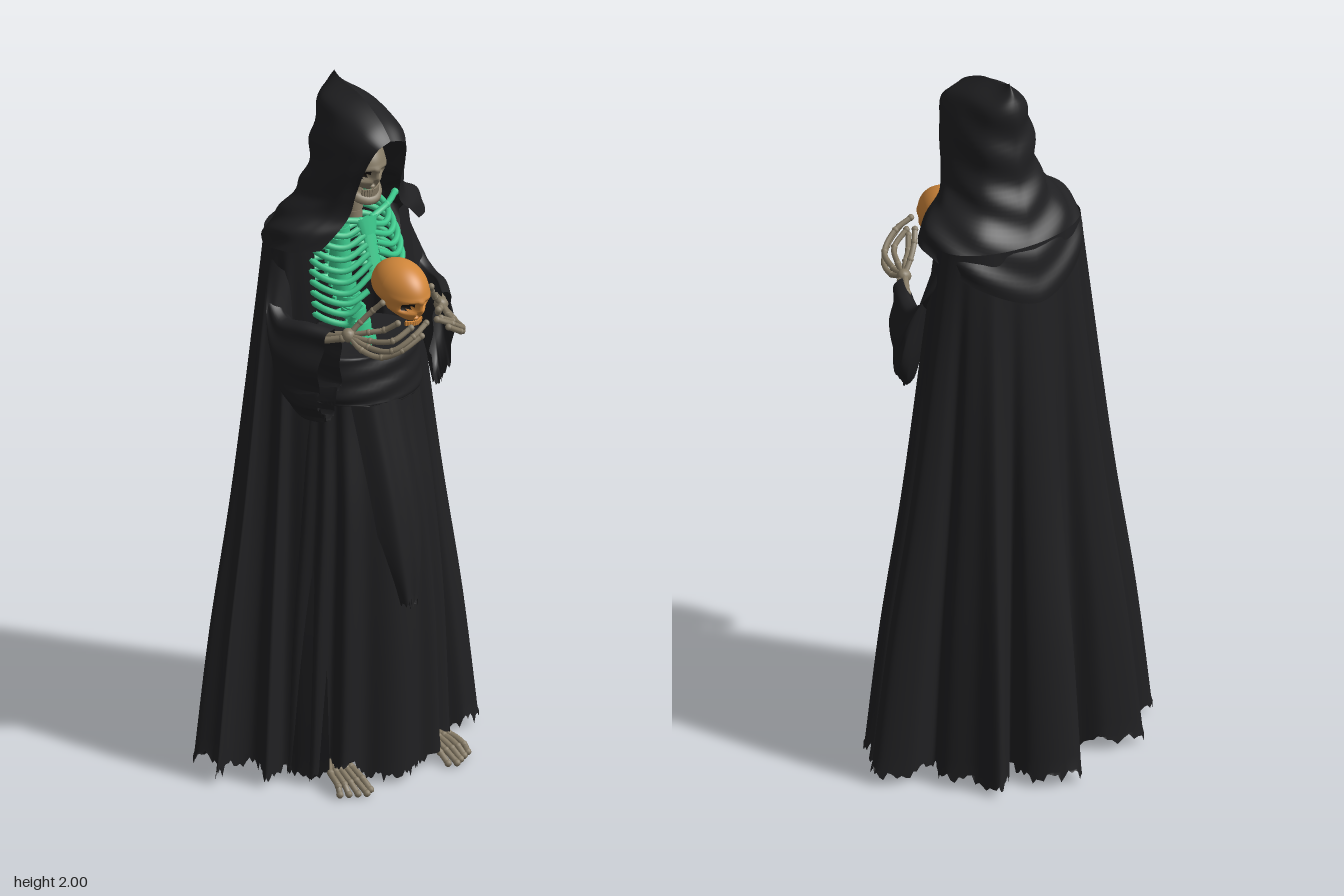
import * as THREE from 'three';

const V = (x, y, z) => new THREE.Vector3(x, y, z);
const mat = (name, color, side = THREE.FrontSide) => {
  const m = new THREE.MeshStandardMaterial({ color, side });
  m.name = name;
  return m;
};
const mesh = (name, geo, material, parent) => {
  const m = new THREE.Mesh(geo, material);
  m.name = name;
  parent.add(m);
  return m;
};
const group = (name, parent) => {
  const g = new THREE.Group();
  g.name = name;
  parent.add(g);
  return g;
};

// Smooth sheet through rows of control points, with an optional rule that moves each vertex
function loft(rows, nu, nv, closed, rule) {
  const across = rows.map(r => new THREE.CatmullRomCurve3(r, closed, 'catmullrom', 0.5));
  const pos = [], idx = [], cols = closed ? nu : nu + 1;
  const grid = [];
  for (let i = 0; i < cols; i++) {
    const u = i / nu;
    const down = new THREE.CatmullRomCurve3(across.map(c => c.getPoint(u)), false, 'centripetal');
    grid.push(Array.from({ length: nv + 1 }, (_, j) => {
      const p = down.getPoint(j / nv);
      if (rule) rule(p, u, j / nv);
      return p;
    }));
  }
  for (let j = 0; j <= nv; j++) for (let i = 0; i < cols; i++) pos.push(...grid[i][j].toArray());
  for (let j = 0; j < nv; j++) for (let i = 0; i < nu; i++) {
    const a = j * cols + i, b = j * cols + (i + 1) % cols, c = a + cols, d = b + cols;
    idx.push(a, c, b, b, c, d);
  }
  const g = new THREE.BufferGeometry();
  g.setAttribute('position', new THREE.Float32BufferAttribute(pos, 3));
  g.setIndex(idx);
  g.computeVertexNormals();
  return g;
}

const ring = (n, fn) => Array.from({ length: n }, (_, i) => fn(i / n * Math.PI * 2));
const ragged = u => 0.03 * Math.abs(Math.sin(u * 131) * Math.sin(u * 57 + 1)) + 0.02 * Math.abs(Math.sin(u * 311));

// Bone: a tube with rounded joints
function bone(name, pts, r, material, parent, joints = true) {
  const curve = new THREE.CatmullRomCurve3(pts);
  mesh(name, new THREE.TubeGeometry(curve, pts.length * 5, r, 7), material, parent);
  if (joints) pts.forEach(p =>
    mesh(name + 'Joint', new THREE.SphereGeometry(r * 1.2, 8, 6), material, parent).position.copy(p));
}

// Skull: a sphere sculpted with sockets, nose and narrowed face
function skull(name, material, dark, parent, withJaw) {
  const g = group(name, parent);
  const geo = new THREE.SphereGeometry(1, 64, 48);
  const p = geo.attributes.position, hole = [];
  for (let i = 0; i < p.count; i++) {
    let x = p.getX(i), y = p.getY(i), z = p.getZ(i);
    const front = z > 0.05;
    const eye = front ? Math.exp(-(((Math.abs(x) - 0.42) / 0.25) ** 4) - ((y + 0.2 + 0.25 * (Math.abs(x) - 0.42)) / 0.2) ** 4) : 0;
    const nose = front ? Math.exp(-((x / (0.07 + 0.28 * Math.max(0, -0.38 - y))) ** 4) - ((y + 0.56) / 0.14) ** 4) : 0;
    const low = Math.max(0, -y);
    const brow = front ? Math.exp(-(((y - 0.06) / 0.1) ** 2)) * 0.05 : 0;
    const cheek = Math.exp(-(((Math.abs(x) - 0.72) / 0.16) ** 2) - ((y + 0.4) / 0.13) ** 2) * (z > 0 ? 0.14 : 0);
    hole.push(Math.max(eye, nose) > 0.45);
    if (z > 0.1) z = z + low * low * 0.32 + brow - 0.25 * eye - 0.18 * nose;
    else if (y < 0) y *= 0.72;
    x *= 1 - 0.36 * low * low + cheek - 0.1 * Math.max(0, z);
    p.setXYZ(i, x * 0.07, y * 0.076, z * 0.095);
  }
  const bonePart = [], holes = [], ix = geo.index.array;
  for (let k = 0; k < ix.length; k += 3) {
    const f = [ix[k], ix[k + 1], ix[k + 2]];
    (f.every(v => hole[v]) ? holes : bonePart).push(...f);
  }
  geo.setIndex([...bonePart, ...holes]);
  geo.clearGroups();
  geo.addGroup(0, bonePart.length, 0);
  geo.addGroup(bonePart.length, holes.length, 1);
  geo.computeVertexNormals();
  mesh('cranium', geo, [material, dark], g);
  for (let i = -4; i <= 4; i++) for (const row of withJaw ? [0, 1] : [0]) {
    const a = i * 0.2;
    mesh('tooth', new THREE.BoxGeometry(0.006, 0.013, 0.006), material, g)
      .position.set(Math.sin(a) * 0.034, -0.07 - row * 0.013, 0.043 + Math.cos(a) * 0.034);
  }
  if (withJaw) {
    const half = [V(0.056, -0.03, 0.005), V(0.05, -0.07, 0.012), V(0.032, -0.09, 0.056), V(0.012, -0.097, 0.073)];
    const full = [...half, ...half.slice().reverse().map(q => V(-q.x, q.y, q.z))];
    mesh('jaw', new THREE.TubeGeometry(new THREE.CatmullRomCurve3(full), 36, 0.014, 8), material, g);
  }
  return g;
}

export function createModel() {
  const model = new THREE.Group();
  model.name = 'hoodedSkeleton';
  const cloth = mat('blackCloth', 0x202022, THREE.DoubleSide);
  const boneMat = mat('bone', 0x867b66);
  const green = mat('greenBone', 0x3cc88c);
  const orange = mat('orangeBone', 0xd0863a);
  const dark = mat('socketDark', 0x17120e);

  // Cloak: shoulder arc blended into a deeply folded hem, open at the front
  const hem = [[.2, .17], [.24, .09], [.30, .115], [.36, .09], [.35, .05], [.39, .02], [.35, -.02], [.41, -.02],
    [.43, -.07], [.35, -.115], [.27, -.11], [.29, -.18], [.235, -.25], [.2, -.325], [.14, -.275], [.11, -.235],
    [.1, -.31], [.04, -.36], [-.03, -.37], [-.05, -.29], [-.11, -.215], [-.18, -.275], [-.29, -.29], [-.265, -.21],
    [-.25, -.14], [-.33, -.165], [-.41, -.16], [-.38, -.1], [-.43, -.03], [-.36, -.06], [-.3, -.03], [-.335, .06],
    [-.27, .05], [-.24, .1], [-.2, .17]];
  const cloakRow = (y, f) => hem.map(([x, z], i) => {
    const a = (-50 + 280 * i / (hem.length - 1)) * Math.PI / 180;
    return V(THREE.MathUtils.lerp(0.222 * Math.cos(a), x, f), y, THREE.MathUtils.lerp(-0.07 - 0.12 * Math.sin(a), z, f));
  });
  mesh('cloak', loft([cloakRow(1.57, 0), cloakRow(1.3, 0.16), cloakRow(0.8, 0.47), cloakRow(0.4, 0.77), cloakRow(0.005, 1)],
    280, 40, false, (p, u, v) => { if (v === 1) p.y += ragged(u); }), cloth, model);

  // Hood and shoulder cape: [front edge], [side], [back y, z]
  const levels = [
    [[0, 1.885, .19], [0, 1.968, .06], [2.0, -.06]],
    [[.045, 1.868, .189], [.07, 1.925, .04], [1.95, -.092]],
    [[.068, 1.80, .16], [.104, 1.83, .03], [1.84, -.1]],
    [[.075, 1.72, .127], [.122, 1.72, .02], [1.72, -.117]],
    [[.085, 1.65, .108], [.158, 1.652, 0], [1.62, -.16]],
    [[.125, 1.605, .1], [.218, 1.602, -.02], [1.51, -.205]],
    [[.165, 1.56, .082], [.236, 1.545, -.03], [1.41, -.222]]];
  const hoodRows = levels.map(([f, s, [by, bz]], i) => {
    const half = [V(...f), V((f[0] + s[0]) / 2 + s[0] * (i > 3 ? 0.06 : 0.12), (f[1] + s[1]) / 2, f[2] * 0.65 + s[2] * 0.35), V(...s),
      V(s[0] * 0.74, (s[1] + by) / 2, s[2] * 0.28 + bz * 0.72)];
    return [...half, V(0, by, bz), ...half.slice().reverse().map(p => V(-p.x, p.y, p.z))];
  });
  mesh('hood', loft(hoodRows, 80, 48, false, (p, u, v) => {
    const w = 0.005 * Math.sin(u * Math.PI) * Math.sin(v * 34 + Math.abs(u - 0.5) * 16) * Math.min(1, v * 3);
    p.x += w * Math.sign(0.5 - u) * Math.min(1, Math.abs(u - 0.5) * 6) - 0.012 * (1 - v);
    p.z -= w;
  }), cloth, model);

  // Skirt with pleats, lifted over the feet: [y, half width, front z, back z]
  const oval = (y, rx, zf, zb) => ring(16, a => V(-rx * Math.sin(a), y, (zf + zb) / 2 - (zf - zb) / 2 * Math.cos(a)));
  mesh('skirt', loft([oval(1.2, .165, .15, -.1), oval(1.05, .175, .17, -.11), oval(.8, .2, .21, -.13),
    oval(.45, .23, .238, -.16), oval(0, .25, .248, -.18)], 220, 24, true, (p, u, v) => {
    const s = 1 + (0.02 + 0.05 * v) * Math.sin(u * Math.PI * 26 + 2 * Math.sin(u * 20)) - 0.03 * v;
    p.x *= s;
    p.z = 0.035 + (p.z - 0.035) * s;
    if (v === 1) {
      const overFoot = p.z > 0.06 ? Math.exp(-(((Math.abs(p.x) - 0.165) / 0.05) ** 4)) : 0;
      p.y += 0.003 + ragged(u) * 0.8 + 0.045 * overFoot;
    }
  }), cloth, model);

  // Waist sash, closed on top
  mesh('sash', loft([oval(1.23, .02, .05, .01), oval(1.235, .15, .14, -.09), oval(1.235, .172, .158, -.1), oval(1.17, .18, .168, -.11),
    oval(1.1, .183, .172, -.115), oval(1.085, .17, .16, -.1)], 64, 30, true,
    (p, u, v) => { p.z += 0.003 * Math.sin(v * 40 + p.x * 20); p.y -= 0.1 * p.x * v; }), cloth, model);

  // Hanging front panel
  const panel = (y, x, w, z) => [-1, -0.5, 0, 0.5, 1].map((k, i) => V(x + k * w, y, z - 0.035 * k * k + (i % 2) * 0.01));
  mesh('frontPanel', loft([panel(1.1, -.02, .085, .172), panel(.85, 0, .08, .22), panel(.65, .01, .065, .247), panel(.5, .01, .03, .258)],
    30, 16, false, (p, u, v) => { if (v === 1) p.y += ragged(u); }), cloth, model);

  for (const s of [1, -1]) {
    const side = s > 0 ? 'left' : 'right';

    // Wide hanging sleeve
    const cuff = (x, y, z, rx, ry, tilt) => ring(10, a => V(s * (x + rx * Math.cos(a)), y + ry * Math.sin(a), z + tilt * Math.sin(a)));
    mesh(side + 'Sleeve', loft([cuff(.19, 1.5, -.05, .035, .03, -.04), cuff(.225, 1.37, -.02, .04, .06, -.03),
      cuff(.242, 1.255, .03, .043, .11, -.01), cuff(.222, 1.225, .09, .043, .145, .005), cuff(.188, 1.215, .152, .038, .15, .012)],
      72, 24, true, (p, u, v) => {
        p.x += s * 0.006 * Math.sin(u * 44) * v;
        if (v > 0.6 && u > 0.55 && u < 0.95) p.y += ragged(u * 2) * (v - 0.6) * 2;
      }), cloth, model);

    // Forearm and cupped hand
    const hand = group(side + 'Hand', model);
    const P = (x, y, z) => V(s * x, y, z);
    bone('radius', [P(.222, 1.325, .07), P(.19, 1.337, .13), P(.155, 1.352, .19)], .0105, boneMat, hand);
    bone('ulna', [P(.235, 1.315, .07), P(.205, 1.325, .13), P(.17, 1.342, .185)], .0095, boneMat, hand);
    const wrist = P(.155, 1.35, .192);
    mesh('wrist', new THREE.SphereGeometry(.02, 10, 8), boneMat, hand).position.copy(wrist);
    [[[.12, 1.365, .235], [.09, 1.375, .265], [.068, 1.4, .295]],
      [[.13, 1.35, .255], [.1, 1.365, .315], [.05, 1.395, .33]],
      [[.142, 1.338, .262], [.118, 1.348, .335], [.065, 1.385, .36], [.018, 1.41, .355]],
      [[.155, 1.328, .25], [.135, 1.325, .312], [.098, 1.35, .352], [.045, 1.385, .37]],
      [[.125, 1.385, .205], [.098, 1.42, .225], [.082, 1.445, .245]]
    ].forEach((f, i) => bone(i < 4 ? 'finger' : 'thumb', [wrist, ...f.map(q => P(...q))], .0078, boneMat, hand));

    // Foot, toes turned outward
    const foot = group(side + 'Foot', model);
    bone('shin', [P(.135, .2, .05), P(.145, .06, .08)], .013, boneMat, foot);
    bone('heel', [P(.145, .05, .1), P(.135, .022, .04)], .018, boneMat, foot);
    for (let i = 0; i < 5; i++) {
      const x = .13 + i * .017, end = .268 - Math.abs(i - 1) * .012;
      bone('toe', [P(.147, .055, .1), P(x, .046, .17), P(x + .003 * i, .03, .22), P(x + .004 * i, .011, end)], .0085, boneMat, foot);
    }
  }

  // Ribcage, leaning back at the top
  const ribs = group('ribcage', model);
  ribs.position.x = -.007;
  for (let i = 0; i < 9; i++) {
    const y = 1.605 - i * .03, w = .095 + .048 * Math.sin(Math.min(1, (i + 1) / 5) * Math.PI / 2);
    const zf = Math.min(.125, .078 + i * .009);
    const endX = i < 6 ? .014 : .03 + (i - 6) * .025, endY = i < 6 ? 1.59 - i * .024 : y - .005;
    for (const s of [1, -1]) bone('rib', [V(0, y + .02, -.06), V(s * w * .65, y + .025, -.07), V(s * w, y, -.01),
      V(s * w * .93, y - .022, zf * .5), V(s * w * .6, y - .032, zf * .9), V(s * endX, endY, zf)], .0088, green, ribs, false);
  }
  const breastbone = (name, y, z, top, bottom, h) => {
    const geo = new THREE.CylinderGeometry(top, bottom, h, 12);
    geo.scale(1, 1, .35);
    const m = mesh(name, geo, green, ribs);
    m.position.set(0, y, z);
    m.rotation.x = -.28;
  };
  breastbone('manubrium', 1.585, .082, .036, .022, .055);
  breastbone('sternum', 1.51, .105, .02, .022, .12);
  for (const s of [1, -1])
    bone('collarbone', [V(s * .02, 1.606, .075), V(s * .08, 1.62, .06), V(s * .16, 1.605, -.01)], .009, green, ribs);

  // Spine: green below, plain bone in the neck
  const vertebra = (y, z, r, m) => {
    mesh('vertebra', new THREE.CylinderGeometry(r, r * 1.08, .025, 12), m, model).position.set(-.008, y, z);
    mesh('spinalDisc', new THREE.CylinderGeometry(r * .88, r * .88, .034, 10), m, model).position.set(-.008, y, z);
    mesh('spinalProcess', new THREE.BoxGeometry(r * 2.3, .008, .012), m, model).position.set(-.008, y, z - r * .6);
  };
  for (let i = 0; i < 12; i++) vertebra(1.25 + i * .031, .06 - Math.min(1, i / 5) * .1, .035 - i * .001, green);
  for (let i = 0; i < 5; i++) vertebra(1.605 + i * .03, .02 + i * .002, .023, boneMat);

  // Hooded head and the skull held in the hands
  const head = skull('head', boneMat, dark, model, true);
  head.position.set(-.01, 1.78, .037);
  head.rotation.x = 0.1;
  const held = skull('heldSkull', orange, dark, model, false);
  held.position.set(-.012, 1.468, .235);
  held.rotation.x = 0.15;
  return model;
}
